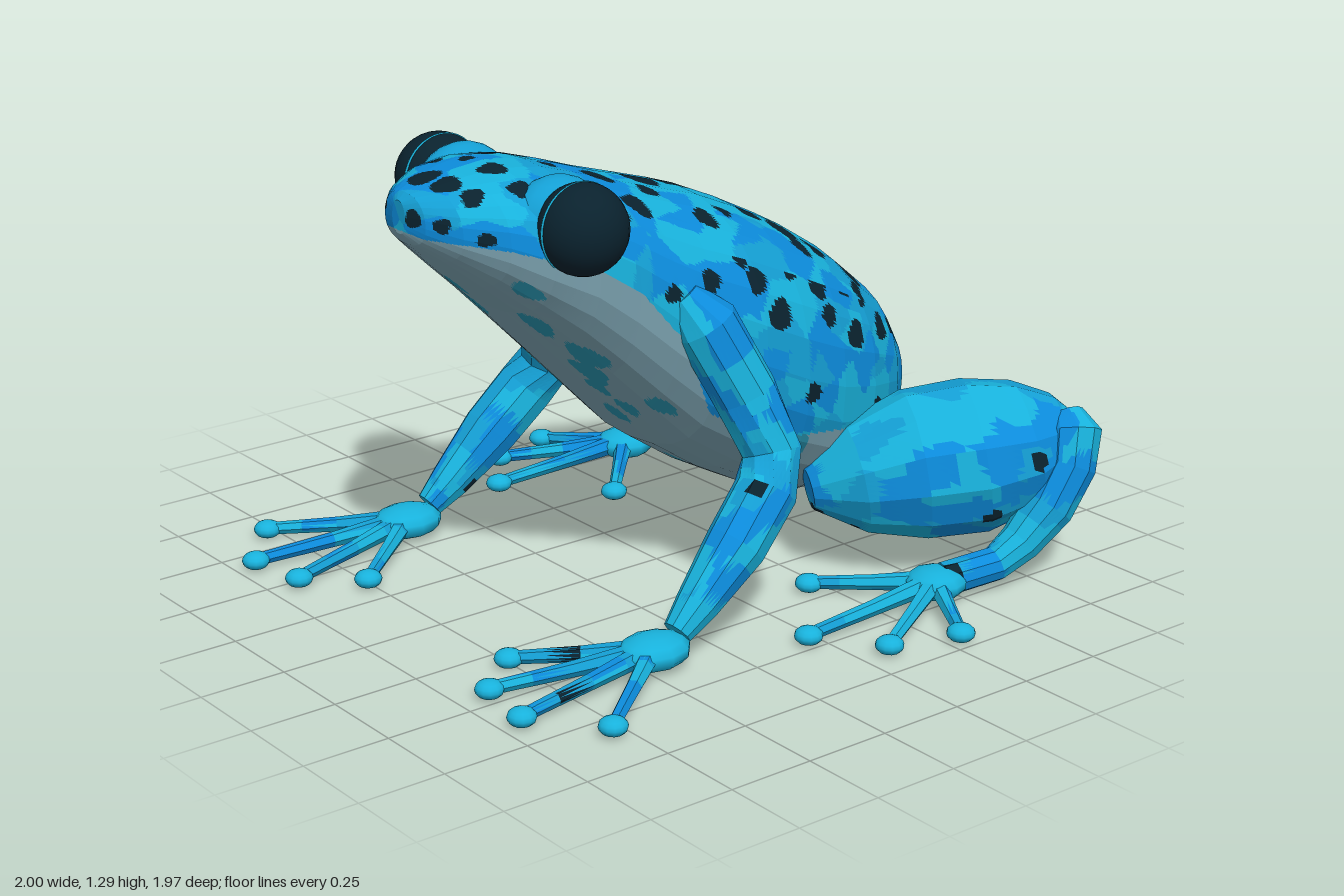
import * as THREE from 'three';

const mat = (name, color) => {
  const m = new THREE.MeshStandardMaterial({ color });
  m.name = name;
  return m;
};
const CYAN = 0, BLUE = 1, MID = 2, SPOT = 3, BELLY = 4, MARK = 5;

// Small seeded random generator
function seeded(seed) {
  return () => {
    seed = (seed * 1664525 + 1013904223) % 4294967296;
    return seed / 4294967296;
  };
}

// Scattered cells that give the skin its irregular colour patches
const rnd = seeded(11);
const cells = Array.from({ length: 4000 }, () => ({
  x: rnd() * 2 - 1, y: rnd() * 1.35, z: rnd() * 2 - 1, kind: rnd(),
}));
function nearest(p) {
  let best = null, bd = 9;
  for (const c of cells) {
    const dx = c.x - p.x, dy = c.y - p.y, dz = c.z - p.z;
    const d = dx * dx + dy * dy + dz * dz;
    if (d < bd) { bd = d; best = c; }
  }
  return { kind: best.kind, d: Math.sqrt(bd) };
}
const patch = (k) => (k < 0.38 ? CYAN : k < 0.74 ? BLUE : MID);
function limbPaint(p) {
  const { kind, d } = nearest(p);
  return kind > 0.8 && d < 0.03 ? SPOT : patch(kind);
}

// Loft through rings of points, closed at both ends; facets are split finely and painted by a rule
function loft(openRings, sub, paint, materials) {
  const cap = (ring) => {
    const mid = ring.reduce((s, q) => s.add(q), new THREE.Vector3()).divideScalar(ring.length);
    return ring.map((q) => mid.clone().lerp(q, 0.01));
  };
  const rings = [cap(openRings[0]), ...openRings, cap(openRings.at(-1))];
  const sets = materials.map(() => []);
  const n = rings[0].length;
  const tri = (a, b, c, normal) => {
    const mid = a.clone().add(b).add(c).divideScalar(3);
    sets[paint(mid, normal)].push(a.x, a.y, a.z, b.x, b.y, b.z, c.x, c.y, c.z);
  };
  for (let i = 0; i < rings.length - 1; i++) {
    for (let j = 0; j < n; j++) {
      const k = (j + 1) % n;
      const A = rings[i][j], B = rings[i][k], C = rings[i + 1][k], D = rings[i + 1][j];
      const normal = C.clone().sub(A).cross(D.clone().sub(B)).normalize();
      const at = (s, t) => A.clone().lerp(B, s).lerp(D.clone().lerp(C, s), t);
      for (let u = 0; u < sub; u++) {
        for (let v = 0; v < sub; v++) {
          const a = at(u / sub, v / sub), b = at((u + 1) / sub, v / sub);
          const c = at((u + 1) / sub, (v + 1) / sub), d = at(u / sub, (v + 1) / sub);
          tri(a, b, c, normal);
          tri(a, c, d, normal);
        }
      }
    }
  }
  const geo = new THREE.BufferGeometry();
  let start = 0;
  sets.forEach((s, m) => {
    if (s.length) geo.addGroup(start, s.length / 3, m);
    start += s.length / 3;
  });
  geo.setAttribute('position', new THREE.Float32BufferAttribute(sets.flat(), 3));
  geo.computeVertexNormals();
  return new THREE.Mesh(geo, materials);
}

// Round limb rings along a path of [x, y, z, radius]
function limbRings(path, sides) {
  const pts = path.map((p) => new THREE.Vector3(p[0], p[1], p[2]));
  return path.map((p, i) => {
    const t = pts[Math.min(i + 1, pts.length - 1)].clone().sub(pts[Math.max(i - 1, 0)]).normalize();
    const u = new THREE.Vector3(1, 0, 0).addScaledVector(t, -t.x).normalize();
    const v = t.clone().cross(u);
    return Array.from({ length: sides }, (_, j) => {
      const a = (j / sides) * Math.PI * 2;
      return pts[i].clone().addScaledVector(u, Math.cos(a) * p[3]).addScaledVector(v, Math.sin(a) * p[3]);
    });
  });
}

// Body sections, tail to snout: z, top, bottom, half width, widest height, belly line
const SECTIONS = [
  [-0.845, 0.48, 0.42, 0.03, 0.45, 0.38], [-0.82, 0.55, 0.34, 0.12, 0.45, 0.38],
  [-0.76, 0.63, 0.26, 0.2, 0.46, 0.38], [-0.66, 0.76, 0.2, 0.29, 0.49, 0.39],
  [-0.5, 0.89, 0.152, 0.37, 0.53, 0.41], [-0.35, 0.985, 0.165, 0.41, 0.57, 0.44],
  [-0.2, 1.06, 0.23, 0.43, 0.63, 0.46], [-0.05, 1.125, 0.31, 0.43, 0.7, 0.49],
  [0.1, 1.17, 0.41, 0.41, 0.78, 0.58], [0.22, 1.205, 0.53, 0.39, 0.87, 0.83],
  [0.34, 1.245, 0.65, 0.37, 0.97, 0.97], [0.46, 1.28, 0.77, 0.355, 1.05, 1.05],
  [0.58, 1.295, 0.89, 0.32, 1.09, 1.09], [0.68, 1.285, 0.98, 0.265, 1.13, 1.12],
  [0.77, 1.265, 1.06, 0.18, 1.15, 1.135], [0.83, 1.25, 1.11, 0.095, 1.17, 1.14],
  [0.85, 1.23, 1.14, 0.03, 1.18, 1.15],
];
// Back spots: x, z, radius
const BACK_SPOTS = [
  [0.2, -0.7, 0.04], [-0.05, -0.73, 0.03], [0.05, -0.54, 0.045], [0.18, -0.55, 0.045], [0.27, -0.52, 0.03],
  [0.18, -0.42, 0.035], [0.04, -0.65, 0.03], [0.16, -0.32, 0.045], [0.23, -0.33, 0.03], [0.13, -0.22, 0.035],
  [-0.06, -0.11, 0.045], [-0.02, -0.05, 0.06], [-0.15, -0.05, 0.055], [0.03, 0.08, 0.055], [-0.25, 0.02, 0.03],
  [0.24, 0.02, 0.035], [-0.18, 0.12, 0.04], [0.14, 0.14, 0.03], [0.08, 0.27, 0.045], [0.23, 0.25, 0.04],
  [-0.17, -0.35, 0.05], [-0.16, -0.43, 0.045], [-0.1, -0.56, 0.03], [-0.28, -0.25, 0.035], [-0.28, -0.48, 0.03],
  [-0.2, -0.66, 0.03], [-0.13, 0.5, 0.055], [-0.08, 0.43, 0.04], [-0.03, 0.75, 0.045], [0.06, 0.74, 0.04],
  [0.07, 0.6, 0.04], [-0.13, 0.65, 0.025], [0.19, 0.6, 0.03], [0.15, 0.72, 0.03], [0.22, 0.45, 0.035],
  [0.04, 0.4, 0.025], [-0.27, 0.27, 0.025], [0.1, -0.77, 0.022], [-0.13, -0.77, 0.02], [0.27, 0.34, 0.03],
  [-0.05, 0.6, 0.022], [-0.07, -0.32, 0.022], [0.19, -0.08, 0.025], [-0.22, 0.4, 0.025], [-0.1, 0.3, 0.015],
];
// Flank spots: z, y, radius
const SIDE_SPOTS = [
  [0.11, 0.96, 0.03], [0.1, 0.87, 0.035], [-0.02, 1.0, 0.03], [-0.05, 0.93, 0.035], [-0.11, 0.83, 0.042],
  [-0.2, 0.93, 0.03], [-0.3, 0.86, 0.035], [-0.31, 0.78, 0.03], [-0.42, 0.7, 0.038], [-0.43, 0.83, 0.035],
  [-0.58, 0.67, 0.035], [-0.22, 0.585, 0.03], [0.24, 0.95, 0.025], [-0.66, 0.65, 0.022], [-0.52, 0.47, 0.022],
  [0.14, 1.1, 0.02], [0.02, 1.1, 0.018], [0.22, 1.14, 0.025], [0.32, 1.2, 0.03], [-0.51, 0.78, 0.03],
];
// Snout spots and belly marks: x, y, radius
const SNOUT_SPOTS = [
  [0.055, 1.19, 0.025], [0.13, 1.18, 0.02], [-0.1, 1.2, 0.02], [-0.2, 1.22, 0.022], [0.22, 1.15, 0.018],
];
const BELLY_MARKS = [
  [-0.05, 0.95, 0.03], [-0.09, 0.87, 0.04], [0.17, 0.87, 0.04], [0.22, 0.77, 0.045], [0.17, 0.7, 0.045],
  [0.14, 0.64, 0.03], [-0.24, 0.73, 0.045], [-0.13, 0.59, 0.03], [0.17, 0.57, 0.03], [0.09, 0.53, 0.035],
  [-0.21, 0.44, 0.035], [-0.03, 0.38, 0.035], [0.05, 0.33, 0.025], [0.25, 1.0, 0.03], [-0.27, 0.92, 0.04],
  [0.28, 0.6, 0.03], [-0.3, 0.58, 0.03],
];
const inSpot = (list, a, b) => list.some(([p, q, r]) => {
  const ang = Math.atan2(b - q, a - p);
  return Math.hypot(a - p, b - q) < r * (1 + 0.1 * Math.sin(3 * ang + p * 40));
});

function bellyLine(z) {
  let i = 0;
  while (i < SECTIONS.length - 2 && z > SECTIONS[i + 1][0]) i++;
  const a = SECTIONS[i], b = SECTIONS[i + 1];
  return THREE.MathUtils.lerp(a[5], b[5], (z - a[0]) / (b[0] - a[0]));
}
function bodyPaint(p, n) {
  const { kind, d } = nearest(p);
  if (p.y < bellyLine(p.z)) {
    const marked = p.z > -0.1 ? inSpot(BELLY_MARKS, p.x, p.y) : kind < 0.15 && d < 0.05;
    return marked ? MARK : BELLY;
  }
  if (n.y > 0.6) return inSpot(BACK_SPOTS, p.x, p.z) ? SPOT : patch(kind);
  if (p.z > 0.55) return inSpot(SNOUT_SPOTS, p.x, p.y) ? SPOT : patch(kind);
  return Math.abs(n.x) > 0.5 && inSpot(SIDE_SPOTS, p.z, p.y) ? SPOT : patch(kind);
}
function bodyRings() {
  const bend = (v) => Math.sign(v) * Math.abs(v) ** 0.88;
  return SECTIONS.map(([z, top, bottom, w, mid]) => Array.from({ length: 28 }, (_, j) => {
    const a = (j / 28) * Math.PI * 2, s = bend(Math.sin(a));
    return new THREE.Vector3(w * bend(Math.cos(a)), mid + s * (s > 0 ? top - mid : mid - bottom), z);
  }));
}

// Limb paths for the left (+x) side
const ARM = [
  [0.35, 0.93, 0.19, 0.05], [0.39, 0.85, 0.14, 0.09], [0.45, 0.65, 0.05, 0.09], [0.51, 0.49, 0.005, 0.085],
  [0.55, 0.4, 0.06, 0.088], [0.57, 0.28, 0.18, 0.085], [0.58, 0.15, 0.32, 0.06], [0.585, 0.09, 0.39, 0.042],
];
const THIGH = [
  [0.34, 0.26, -0.28, 0.06], [0.4, 0.285, -0.4, 0.16], [0.48, 0.315, -0.55, 0.215], [0.57, 0.335, -0.7, 0.222],
  [0.65, 0.365, -0.83, 0.185], [0.7, 0.395, -0.92, 0.115], [0.72, 0.41, -0.96, 0.04],
];
const SHIN = [
  [0.73, 0.46, -0.9, 0.05], [0.765, 0.42, -0.89, 0.085], [0.785, 0.33, -0.86, 0.08], [0.78, 0.22, -0.79, 0.075],
  [0.765, 0.13, -0.7, 0.06], [0.75, 0.08, -0.62, 0.05], [0.71, 0.06, -0.46, 0.05],
];
const FINGERS = [[0.34, 0.765], [0.465, 0.915], [0.65, 0.945], [0.835, 0.795]];
const TOES = [[0.45, -0.19], [0.72, 0.045], [0.9, -0.085], [0.96, -0.29]];

export function createModel() {
  const skin = [
    mat('cyanSkin', 0x18b2dc), mat('blueSkin', 0x0c8cdc), mat('midBlueSkin', 0x149fd4),
    mat('darkSpot', 0x0a222e), mat('greyBelly', 0x7da4b2), mat('bellyMark', 0x2893ae),
  ];
  const model = new THREE.Group();
  model.name = 'frog';
  const add = (parent, mesh, name) => { mesh.name = name; parent.add(mesh); return mesh; };
  const ball = (parent, name, material, pos, scale, w = 12, h = 8) => {
    const m = add(parent, new THREE.Mesh(new THREE.SphereGeometry(1, w, h), material), name);
    m.position.set(...pos);
    m.scale.set(...scale);
  };
  add(model, loft(bodyRings(), 10, bodyPaint, skin), 'body');

  for (const side of [1, -1]) {
    const label = side > 0 ? 'left' : 'right';
    const flip = (path) => path.map(([x, ...rest]) => [x * side, ...rest]);
    const limb = (parent, path, name, sides = 10, sub = 4) =>
      add(parent, loft(limbRings(flip(path), sides), sub, limbPaint, skin), name);

    // Bulging eye set in a skin brow, with a fine rim
    const eye = new THREE.Group();
    add(model, eye, label + 'Eye');
    ball(eye, 'eyeball', skin[SPOT], [side * 0.33, 1.165, 0.5], [0.122, 0.124, 0.122], 28, 20);
    ball(eye, 'brow', skin[MID], [side * 0.215, 1.165, 0.5], [0.1, 0.12, 0.14], 16, 12);
    const rim = add(eye, new THREE.Mesh(new THREE.TorusGeometry(0.121, 0.004, 6, 40), skin[CYAN]), 'eyeRim');
    rim.position.set(side * 0.315, 1.165, 0.5);
    rim.rotation.y = Math.PI / 2;

    // Palm with four slim digits ending in round pads
    const foot = (name, x, z, size, tips) => {
      const group = new THREE.Group();
      add(model, group, name);
      ball(group, 'palm', skin[CYAN], [side * x, 0.06, z], size, 10, 7);
      for (const [tx, tz] of tips) {
        limb(group, [[x, 0.065, z, 0.03], [(x + tx) / 2, 0.048, (z + tz) / 2, 0.022], [tx, 0.035, tz, 0.018]],
          'digit', 6, 2);
        ball(group, 'digitPad', skin[CYAN], [side * tx, 0.034, tz], [0.04, 0.026, 0.04]);
      }
    };
    limb(model, ARM, label + 'FrontLeg');
    foot(label + 'FrontFoot', 0.585, 0.47, [0.088, 0.048, 0.11], FINGERS);
    limb(model, THIGH, label + 'Thigh', 12, 6);
    limb(model, SHIN, label + 'Shin');
    foot(label + 'HindFoot', 0.71, -0.43, [0.088, 0.045, 0.09], TOES);
  }
  return model;
}
